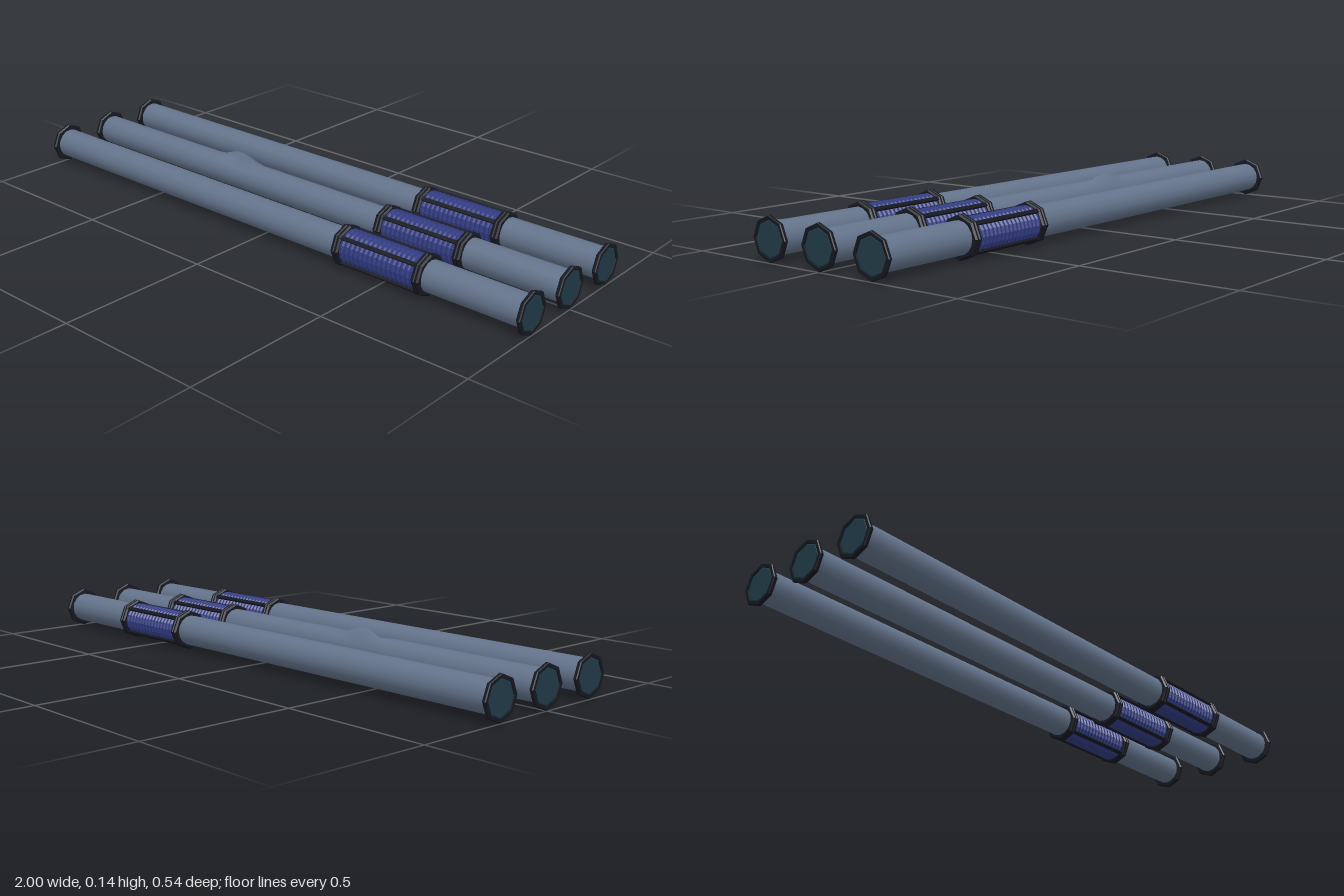
import * as THREE from 'three';
import { mergeVertices } from 'three/addons/utils/BufferGeometryUtils.js';

const PIPE_R = 0.05, AXIS_Y = 0.068;

const pipeMat = new THREE.MeshStandardMaterial({ color: 0x64748c, side: THREE.DoubleSide });
const darkMat = new THREE.MeshStandardMaterial({ color: 0x151821, flatShading: true });
const glassMat = new THREE.MeshStandardMaterial({ color: 0x213a47, flatShading: true });
const coilMat = new THREE.MeshStandardMaterial({ color: 0x303a80, flatShading: true });

function add(parent, name, geometry, material) {
  const mesh = new THREE.Mesh(geometry, material);
  mesh.name = name;
  parent.add(mesh);
  return mesh;
}

// Solid of revolution about the x axis; profile is [radius, x] pairs
function turned(profile, sides) {
  const points = profile.map(([r, x]) => new THREE.Vector2(r, x));
  return new THREE.LatheGeometry(points, sides).rotateZ(-Math.PI / 2);
}

// Long smooth pipe, optionally with a torn dent on top
function pipeGeometry(torn) {
  const g = new THREE.CylinderGeometry(PIPE_R, PIPE_R, 1.98, 16, torn ? 66 : 1, true);
  g.rotateZ(-Math.PI / 2);
  if (!torn) return g;
  const p = g.attributes.position;
  for (let i = 0; i < p.count; i++) {
    const y = p.getY(i), z = p.getZ(i);
    const k = Math.max(0, 1 - Math.abs(p.getX(i) + 0.31) / 0.09);
    const w = Math.min(1, k * 1.3);
    if (y < 0.04 || w === 0) continue;
    if (z < -0.01 && z > -0.03) {
      // raised lip
      p.setY(i, y + 0.025 * w);
      p.setZ(i, z + 0.005 * w);
    } else if (z > -0.01 && z < 0.03) {
      // sunken side
      p.setY(i, y - 0.01 * w);
      if (z < 0.01) p.setZ(i, z - 0.005 * w);
    }
  }
  g.deleteAttribute('uv');
  g.deleteAttribute('normal');
  const merged = mergeVertices(g);
  merged.computeVertexNormals();
  return merged;
}

// Octagonal end flange with a recessed cap
function endFitting(side) {
  const end = new THREE.Group();
  end.name = side > 0 ? 'leftEnd' : 'rightEnd';
  add(end, 'flange', turned([
    [0.049, 0.984], [0.064, 0.986], [0.068, 0.99], [0.068, 0.997],
    [0.066, 1], [0.056, 1], [0.055, 0.995], [0.049, 0.984],
  ], 8), darkMat);
  add(end, 'endCap', turned([[0.056, 0.994], [0.056, 0.996], [0.052, 0.998], [0, 0.998]], 8), glassMat);
  if (side < 0) end.rotation.y = Math.PI;
  return end;
}

// Ribbed coil held between two collars by four bars
function coupling() {
  const unit = new THREE.Group();
  unit.name = 'coupling';
  const collar = turned([
    [0.045, -0.014], [0.062, -0.014], [0.067, -0.009], [0.067, -0.003], [0.064, 0],
    [0.067, 0.003], [0.067, 0.009], [0.062, 0.014], [0.045, 0.014],
  ], 8);
  for (const side of [-1, 1]) {
    add(unit, 'collar', collar, darkMat).position.x = side * 0.15;
  }

  const ribs = 16, pitch = 0.28 / ribs, profile = [];
  for (let i = 0; i < ribs; i++) {
    const x = -0.14 + i * pitch;
    profile.push([0.051, x], [0.056, x + pitch * 0.25], [0.056, x + pitch * 0.65], [0.051, x + pitch * 0.9]);
  }
  add(unit, 'coil', turned(profile, 16), coilMat);

  const bar = new THREE.BoxGeometry(0.29, 0.008, 0.012);
  for (let i = 0; i < 4; i++) {
    const a = Math.PI / 4 + i * Math.PI / 2;
    const mesh = add(unit, 'bar', bar, darkMat);
    mesh.position.set(0, Math.cos(a) * 0.059, Math.sin(a) * 0.059);
    mesh.rotation.x = a;
  }
  unit.position.x = 0.495;
  return unit;
}

export function createModel() {
  const model = new THREE.Group();
  model.name = 'pipes';
  [-0.2, 0, 0.2].forEach((z, i) => {
    const line = new THREE.Group();
    line.name = ['backPipe', 'middlePipe', 'frontPipe'][i];
    add(line, 'pipe', pipeGeometry(i === 1), pipeMat);
    line.add(endFitting(-1), endFitting(1), coupling());
    line.position.set(0, AXIS_Y, z);
    model.add(line);
  });
  return model;
}
